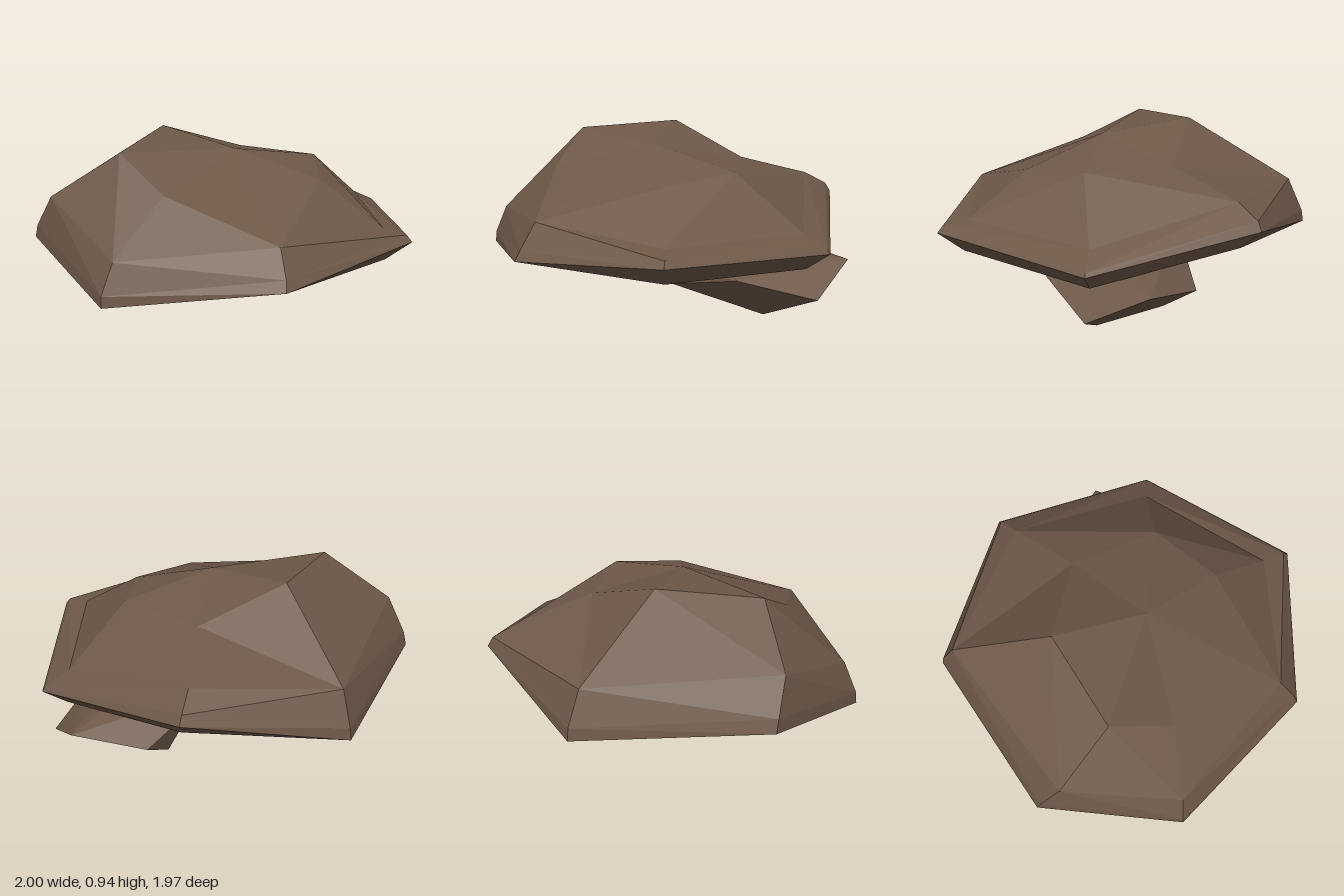
import * as THREE from 'three';
import { ConvexGeometry } from 'three/addons/geometries/ConvexGeometry.js';

const V = (p) => new THREE.Vector3(...p);

// Skin a stack of equal closed rings (bottom to top), capped by end points.
// Quads split along their outward diagonal, except those listed as 'band,side'.
function loft(rings, bottom, top, folded) {
  const pos = [];
  const tri = (...pts) => pts.forEach((p) => pos.push(p.x, p.y, p.z));
  const n = rings[0].length;
  const last = rings.length - 1;
  for (let i = 0; i < n; i++) {
    const j = (i + 1) % n;
    for (let k = 0; k < last; k++) {
      const a = rings[k][i], b = rings[k][j], c = rings[k + 1][j], d = rings[k + 1][i];
      const normal = c.clone().sub(a).cross(b.clone().sub(a));
      const bulges = normal.dot(d.clone().sub(a)) <= 0;
      if (bulges !== folded.includes(`${k},${i}`)) { tri(a, c, b); tri(a, d, c); }
      else { tri(a, d, b); tri(b, d, c); }
    }
    tri(bottom, rings[0][i], rings[0][j]);
    tri(top, rings[last][j], rings[last][i]);
  }
  const g = new THREE.BufferGeometry();
  g.setAttribute('position', new THREE.Float32BufferAttribute(pos, 3));
  g.computeVertexNormals();
  return g;
}

export function createModel() {
  const group = new THREE.Group();
  const brown = new THREE.MeshStandardMaterial({ color: 0x6e5848 });
  brown.name = 'earthBrown';
  brown.flatShading = true;
  const add = (name, geometry) => {
    const mesh = new THREE.Mesh(geometry, brown);
    mesh.name = name;
    group.add(mesh);
  };

  // Irregular seven-sided cap: hollow, underside lip, rim, bevel, shoulder, crown
  const hollow = [[-0.12, 0.55, -0.55], [0.32, 0.5, -0.36], [0.5, 0.5, 0.08], [0.22, 0.48, 0.42],
    [-0.21, 0.44, 0.57], [-0.46, 0.56, 0.4], [-0.54, 0.55, -0.22]].map(V);
  const lip = [[-0.2, 0.425, -0.88], [0.56, 0.295, -0.66], [0.86, 0.33, 0.11], [0.42, 0.335, 0.66],
    [-0.35, 0.235, 0.87], [-0.84, 0.345, 0.42], [-0.85, 0.335, -0.46]].map(V);
  const rim = [[-0.24, 0.53, -0.99], [0.65, 0.395, -0.76], [1.0, 0.445, 0.13], [0.5, 0.365, 0.84],
    [-0.4, 0.24, 0.98], [-1.0, 0.4, 0.47], [-0.96, 0.355, -0.53]].map(V);
  const bevel = [[-0.24, 0.58, -0.96], [0.64, 0.415, -0.75], [0.97, 0.48, 0.125], [0.49, 0.42, 0.81],
    [-0.4, 0.3, 0.975], [-0.98, 0.47, 0.48], [-0.95, 0.42, -0.525]].map(V);
  const shoulder = [[-0.22, 0.65, -0.83], [0.55, 0.485, -0.64], [0.84, 0.5, 0.1], [0.44, 0.555, 0.73],
    [-0.36, 0.46, 0.91], [-0.87, 0.65, 0.52], [-0.89, 0.6, -0.47]].map(V);
  const crown = [[-0.1, 0.77, -0.43], [0.37, 0.775, -0.31], [0.49, 0.73, 0.07], [0.23, 0.71, 0.4],
    [-0.2, 0.73, 0.61], [-0.5, 0.895, 0.45], [-0.46, 0.935, -0.1]].map(V);
  add('cap', loft([hollow, lip, rim, bevel, shoulder, crown],
    V([0, 0.57, 0.02]), V([0.02, 0.87, 0.07]), ['0,4', '4,6']));

  // Leaning faceted stem: a wedge foot below a neck that runs up into the hollow
  const joint = [[0, 0.21, -0.03], [0.37, 0.18, 0.02], [0.59, 0.25, -0.29],
    [0.39, 0.29, -0.93], [0.02, 0.22, -0.81]].map(V);
  const tip = [[0.03, 0.05, -0.54], [0.4, 0, -0.47], [0.62, 0.14, -0.71]].map(V);
  const neckTop = [[-0.22, 0.4, 0.15], [0.18, 0.4, 0.26], [0.4, 0.38, -0.12],
    [0.2, 0.41, -0.4], [-0.18, 0.4, -0.38]].map(V);
  add('stemFoot', new ConvexGeometry([...joint, ...tip]));
  add('stemNeck', new ConvexGeometry([...joint, ...neckTop]));
  return group;
}
